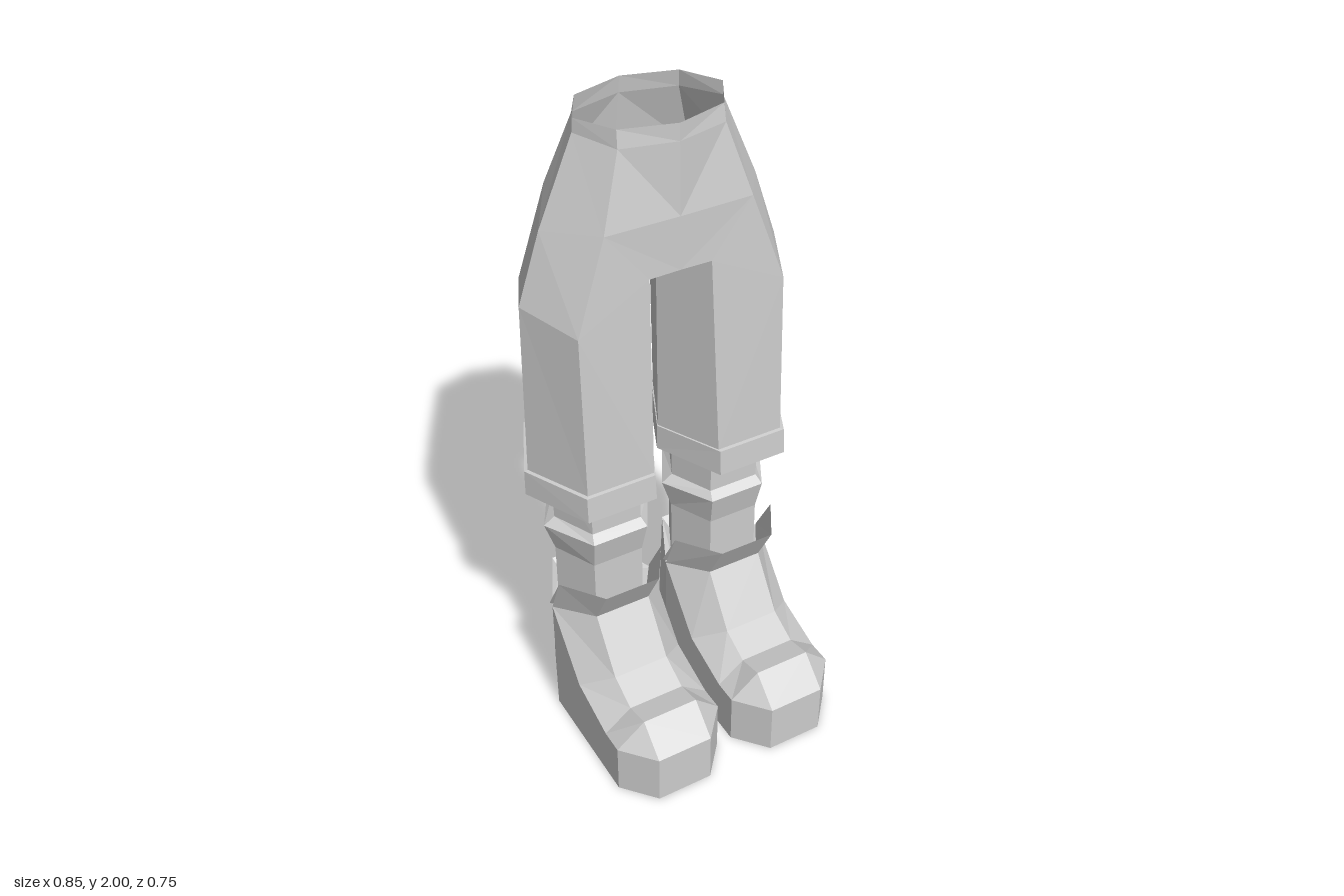
import * as THREE from 'three';

const material = new THREE.MeshStandardMaterial({
  color: 0xcccccc, flatShading: true, side: THREE.DoubleSide,
});

// Mesh from convex polygons; each is fanned from its first corner
function polyMesh(name, faces) {
  const pos = [];
  for (const f of faces)
    for (let i = 1; i < f.length - 1; i++) pos.push(...f[0], ...f[i], ...f[i + 1]);
  const geo = new THREE.BufferGeometry();
  geo.setAttribute('position', new THREE.Float32BufferAttribute(pos, 3));
  geo.computeVertexNormals();
  const mesh = new THREE.Mesh(geo, material);
  mesh.name = name;
  return mesh;
}

// Quads between successive rows of points
function loft(rows, closed = false) {
  const faces = [];
  for (let r = 0; r < rows.length - 1; r++) {
    const a = rows[r], b = rows[r + 1], n = a.length;
    for (let i = 0; i < (closed ? n : n - 1); i++) {
      const j = (i + 1) % n;
      faces.push([a[i], a[j], b[j], b[i]]);
    }
  }
  return faces;
}

// Mirror in x, keeping the faces turned outward
const mirror = (faces) => faces.map((f) => {
  const m = f.map(([x, y, z]) => [-x, y, z]);
  return [m[0], ...m.slice(1).reverse()];
});

// Six-sided leg section: outer, front outer, front inner, inner, back inner, back outer
const hexRing = (y, cx, half, band, zf, zb, zm = -0.155) => [
  [cx + half, y, zm], [cx + band, y, zf], [cx - band, y, zf],
  [cx - half, y, zm], [cx - band, y, zb], [cx + band, y, zb],
];

// Top of the trouser leg, slanting up toward the crotch
const legTop = [
  [0.4, 1.5, -0.16], [0.317, 1.47, 0.02], [0.095, 1.58, 0.005],
  [0.015, 1.53, -0.16], [0.1, 1.59, -0.355], [0.317, 1.47, -0.342],
];

// Half of the waist, hips and crotch
function hipFaces() {
  const rows = [
    [[0, 2, -0.32], [0.155, 2, -0.275], [0.22, 2, -0.16], [0.155, 2, -0.045], [0, 2, 0]],
    [[0, 1.95, -0.327], [0.16, 1.95, -0.285], [0.222, 1.96, -0.16], [0.157, 1.95, -0.038], [0, 1.95, 0]],
    [[0, 1.77, -0.355], [0.225, 1.74, -0.34], [0.33, 1.71, -0.16], [0.222, 1.74, 0], [0, 1.74, 0.003]],
  ];
  const [bc, b, o, f, fc] = rows[2];
  const [lo, lf, lfi, li, lbi, lb] = legTop;
  const crotchF = [0, 1.58, 0.003], crotchM = [0, 1.53, -0.16], crotchB = [0, 1.59, -0.367];
  return [
    ...loft(rows),
    [b, lb, lbi, crotchB, bc], [b, o, lo, lb], [o, f, lf, lo], [f, fc, crotchF, lfi, lf],
    [crotchF, crotchM, li, lfi], [crotchM, crotchB, lbi, li],
  ];
}

// Trouser leg below the hips
const legFaces = () => loft([legTop, hexRing(0.96, 0.213, 0.2, 0.106, 0.037, -0.355)], true);

// Turned-up hem with a small ledge, closed underneath to the shin
const cuffFaces = () => loft([
  hexRing(0.96, 0.213, 0.198, 0.104, 0.035, -0.353),
  hexRing(0.958, 0.217, 0.207, 0.109, 0.047, -0.368),
  hexRing(0.875, 0.217, 0.208, 0.11, 0.052, -0.374),
  hexRing(0.93, 0.2, 0.14, 0.08, -0.027, -0.28),
], true);

// Shin with the flared sock top, capped inside the trouser leg
function shinFaces() {
  const top = hexRing(0.95, 0.2, 0.145, 0.08, -0.025, -0.28);
  return [[...top], ...loft([
    top,
    hexRing(0.755, 0.2, 0.14, 0.08, -0.025, -0.28),
    hexRing(0.733, 0.2, 0.175, 0.088, 0, -0.31),
    hexRing(0.635, 0.2, 0.143, 0.08, -0.022, -0.28),
    hexRing(0.42, 0.2, 0.143, 0.08, -0.022, -0.28),
  ], true)];
}

const IN = 0.025, OUT = 0.375, BAND_IN = 0.11, BAND_OUT = 0.288;
// Shoe row: [z, y] of the side edges, then [z, y] of the middle band
const shoeRow = ([zs, ys, zb, yb]) => [
  [IN, ys, zs], [BAND_IN, yb, zb], [BAND_OUT, yb, zb], [OUT, ys, zs],
];

function shoeFaces() {
  // Toe, instep and throat
  const upper = [
    [0.275, 0, 0.375, 0], [0.275, 0.17, 0.375, 0.17], [0.275, 0.17, 0.285, 0.255],
    [0.2, 0.17, 0.2, 0.235], [0.03, 0.225, 0.105, 0.28], [-0.135, 0.42, -0.005, 0.445],
  ].map(shoeRow);
  const heel = [[-0.135, 0, -0.34, 0], [-0.135, 0.42, -0.31, 0.445]]
    .map((r) => shoeRow(r).reverse());
  // Flat side walls
  const side = [[0.42, -0.135], [0.225, 0.03], [0.17, 0.2], [0.17, 0.275], [0, 0.275]];
  const wall = (x, pts) => [[x, 0, -0.135], ...pts.map(([y, z]) => [x, y, z])];
  const sole = [...upper[0].slice().reverse(), ...heel[0].slice().reverse()];
  // Collar from the shoe opening in to the shin
  const throat = upper[5];
  const opening = [throat[3], throat[2], throat[1], throat[0], heel[1][2], heel[1][1]];
  const collar = loft([hexRing(0.42, 0.2, 0.143, 0.08, -0.022, -0.28), opening], true);
  return [
    ...loft(upper), ...loft(heel), sole, ...collar,
    wall(OUT, side), wall(IN, side.slice().reverse()),
  ];
}

// Flared tongue with an outer and an inner face
const tongueFaces = () => loft([
  [-0.135, 0.42, -0.005, 0.445], [-0.075, 0.56, 0.065, 0.575], [-0.155, 0.42, -0.025, 0.43],
].map(shoeRow));

export function createModel() {
  const model = new THREE.Group();
  model.name = 'trousersAndShoes';
  const hips = hipFaces();
  model.add(polyMesh('hips', [...hips, ...mirror(hips)]));

  const parts = {
    TrouserLeg: legFaces(), Cuff: cuffFaces(), Shin: shinFaces(),
    Shoe: shoeFaces(), ShoeTongue: tongueFaces(),
  };
  for (const side of ['left', 'right']) {
    const leg = new THREE.Group();
    leg.name = side + 'Leg';
    for (const [part, faces] of Object.entries(parts))
      leg.add(polyMesh(side + part, side === 'left' ? faces : mirror(faces)));
    model.add(leg);
  }
  return model;
}
